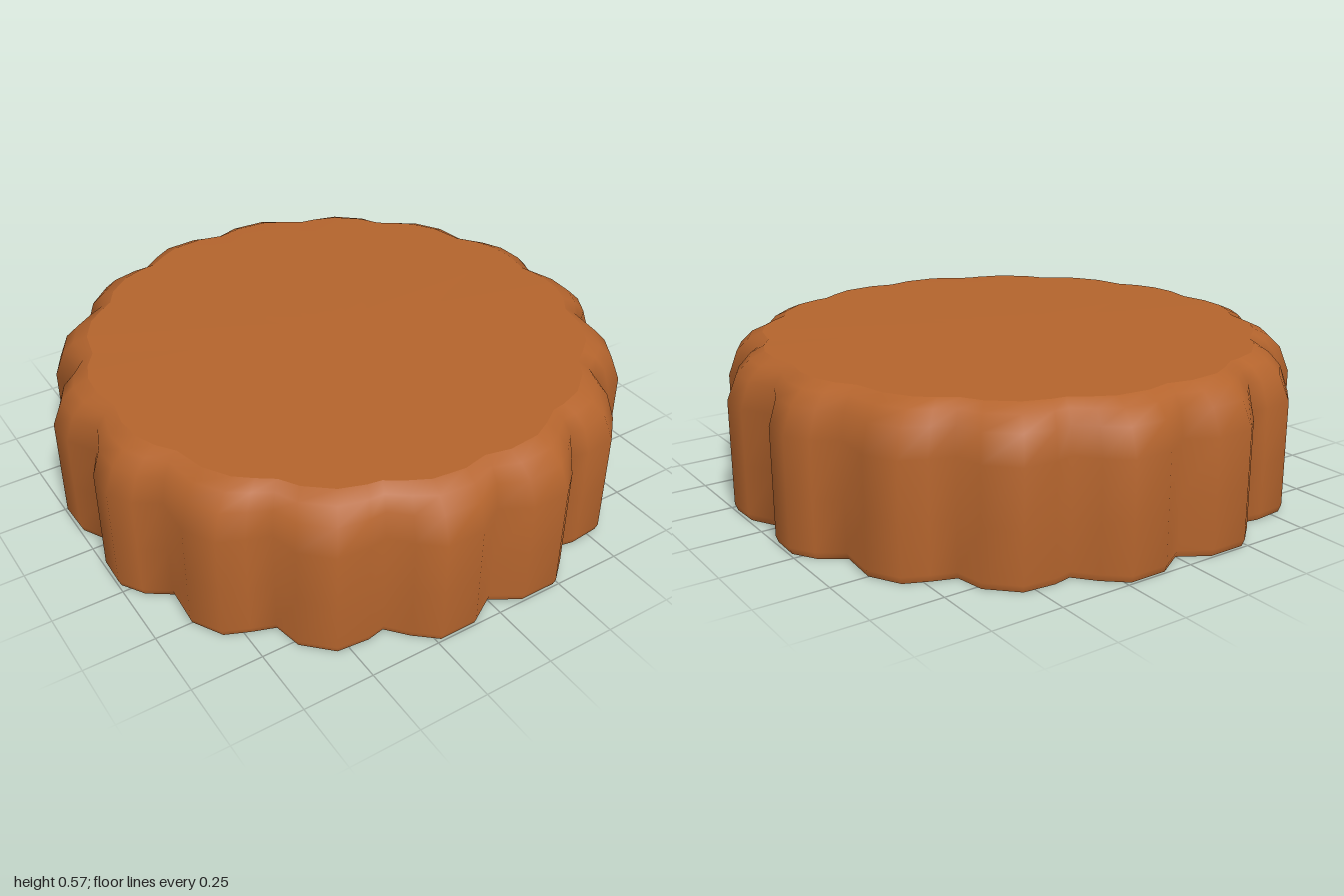
import * as THREE from 'three';

// One quarter of the scalloped outline as [x, z], from the front notch to the left notch
const QUARTER = [
  [0, 0.94], [0.1, 1], [0.235, 1], [0.31, 0.935],
  [0.37, 0.865], [0.433, 0.877], [0.545, 0.866], [0.636, 0.775],
  [0.656, 0.674], [0.735, 0.645], [0.818, 0.608], [0.877, 0.503],
  [0.868, 0.358], [0.95, 0.3], [1, 0.22], [0.997, 0.11], [0.938, 0],
];

// Mirror the quarter into the whole outline, running anticlockwise seen from above
function fullOutline() {
  const half = [...QUARTER, ...QUARTER.slice(0, -1).reverse().map(([x, z]) => [x, -z])];
  return [...half, ...half.slice(1, -1).reverse().map(([x, z]) => [-x, z])];
}

// A ring at height y: notch radius and how much of the lobe depth remains
function ring(outline, y, notch, depth) {
  return outline.map(([x, z]) => {
    const r = Math.hypot(x, z);
    const k = (notch + (r - 0.94) * depth) / r;
    return [x * k, y, z * k];
  });
}

function build(points, index) {
  const geometry = new THREE.BufferGeometry();
  geometry.setAttribute('position', new THREE.Float32BufferAttribute(points.flat(), 3));
  geometry.setIndex(index);
  geometry.computeVertexNormals();
  return geometry;
}

// Closed wall joining the rings from bottom to top
function loft(rings) {
  const n = rings[0].length;
  const index = [];
  for (let j = 0; j < rings.length - 1; j++) {
    for (let i = 0; i < n; i++) {
      const k = (i + 1) % n;
      const a = j * n + i, b = j * n + k;
      index.push(a, b, b + n, a, b + n, a + n);
    }
  }
  return build(rings.flat(), index);
}

// Fan from a centre point to a ring
function fan(points, centreY, up) {
  const n = points.length;
  const index = [];
  for (let i = 0; i < n; i++) {
    const a = i + 1, b = ((i + 1) % n) + 1;
    index.push(0, up ? a : b, up ? b : a);
  }
  return build([[0, centreY, 0], ...points], index);
}

export function createModel() {
  const group = new THREE.Group();
  group.name = 'scallopedDisc';
  const brown = new THREE.MeshStandardMaterial({ color: 0xb4642d });
  brown.name = 'warm brown';

  // Fluted wall with a rounded shoulder: height, notch radius, lobe depth
  const levels = [
    [0, 0.93, 1], [0.025, 0.94, 1], [0.2, 0.94, 1], [0.4, 0.94, 1],
    [0.49, 0.925, 0.75], [0.535, 0.895, 0.55], [0.558, 0.858, 0.36],
  ];
  const outline = fullOutline();
  const rings = levels.map(([y, notch, depth]) => ring(outline, y, notch, depth));

  const add = (name, geometry) => {
    const mesh = new THREE.Mesh(geometry, brown);
    mesh.name = name;
    group.add(mesh);
  };
  add('flutedWall', loft(rings));
  add('topFace', fan(rings[rings.length - 1], 0.57, true));
  add('bottomFace', fan(rings[0], 0, false));
  return group;
}
